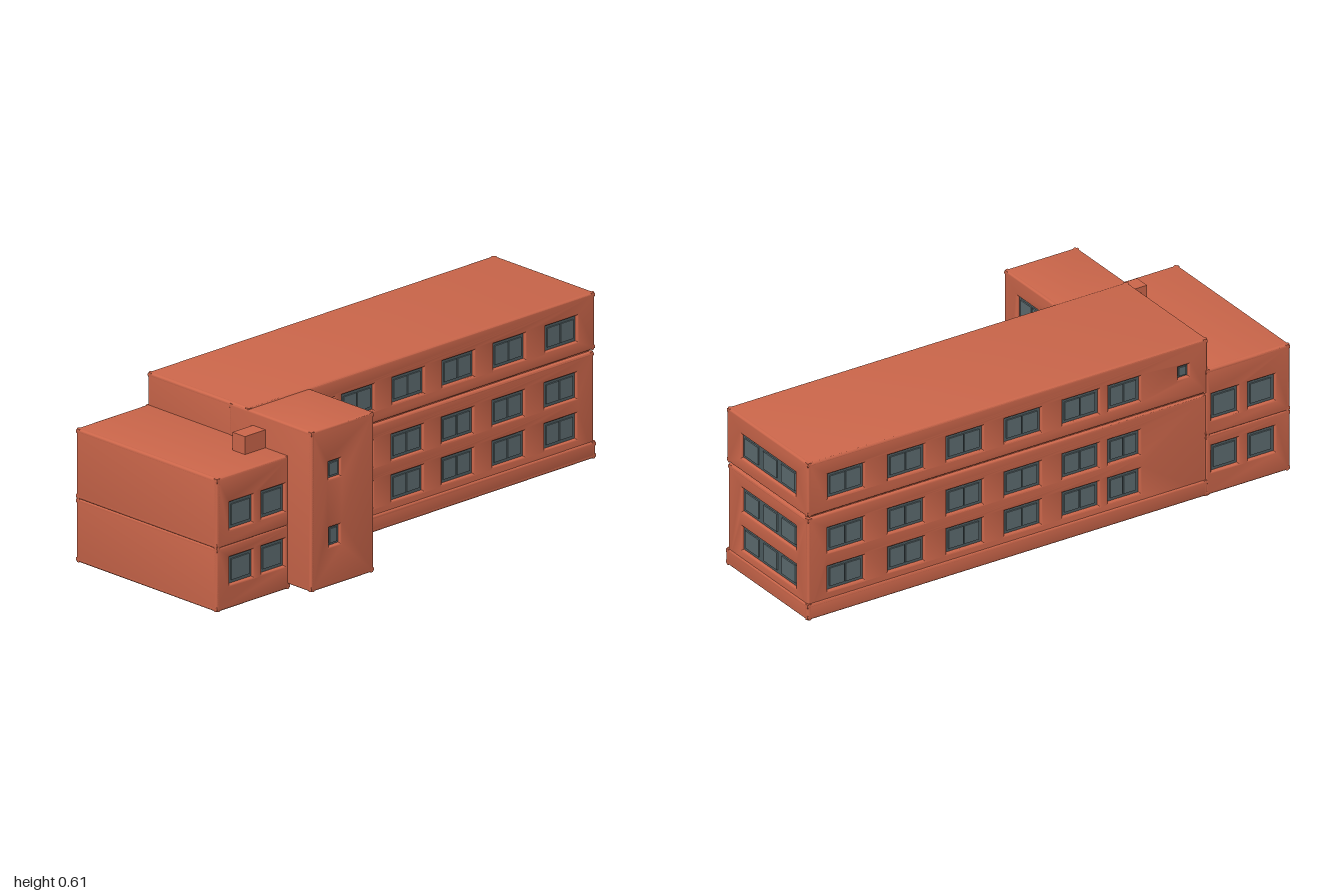
import * as THREE from 'three';
import { toCreasedNormals } from 'three/addons/utils/BufferGeometryUtils.js';

const brick = new THREE.MeshStandardMaterial({ name: 'brick', color: 0xcd674b });
const frame = new THREE.MeshStandardMaterial({ name: 'windowFrame', color: 0x4f5d61 });
const glass = new THREE.MeshStandardMaterial({ name: 'glass', color: 0x5d6c70 });

const T = 0.02;   // wall thickness
const B = 0.008;  // softened edge radius

function addBox(parent, name, material, x0, x1, y0, y1, z0, z1) {
  const mesh = new THREE.Mesh(new THREE.BoxGeometry(x1 - x0, y1 - y0, z1 - z0), material);
  mesh.position.set((x0 + x1) / 2, (y0 + y1) / 2, (z0 + z1) / 2);
  mesh.name = name;
  parent.add(mesh);
}

// Rectangle path, used for both walls and window openings
function rect(path, u0, u1, v0, v1) {
  path.moveTo(u0, v0);
  path.lineTo(u1, v0);
  path.lineTo(u1, v1);
  path.lineTo(u0, v1);
  path.closePath();
  return path;
}

// Wall panel with softened edges and recessed windows; a window is [u, v, w, h, panes]
function panel(u0, u1, v0, v1, dist, windows = []) {
  const group = new THREE.Group();
  const shape = rect(new THREE.Shape(), u0, u1, v0, v1);
  for (const [u, v, w, h] of windows) {
    shape.holes.push(rect(new THREE.Path(), u - w / 2, u + w / 2, v - h / 2, v + h / 2));
  }
  const geo = new THREE.ExtrudeGeometry(shape, {
    depth: T - 2 * B, bevelEnabled: true, bevelSize: B, bevelThickness: B, bevelOffset: -B, bevelSegments: 3,
  });
  geo.translate(0, 0, dist - T + B);
  const wall = new THREE.Mesh(toCreasedNormals(geo, 0.7), brick);
  wall.name = 'wall';
  group.add(wall);

  for (const [u, v, w, h, panes = 1] of windows) {
    addBox(group, 'windowFrame', frame, u - w / 2, u + w / 2, v - h / 2, v + h / 2, dist - T, dist - 0.011);
    const margin = Math.min(0.012, w * 0.15);
    const gap = panes === 3 ? 0.03 : 0.005;
    const pw = (w - 2 * margin - gap * (panes - 1)) / panes;
    for (let i = 0; i < panes; i++) {
      const a = u - w / 2 + margin + i * (pw + gap);
      addBox(group, 'windowPane', glass, a, a + pw, v - h / 2 + margin, v + h / 2 - margin, dist - 0.012, dist - 0.006);
    }
  }
  return group;
}

// Closed block made of six panels around a solid core
function block(name, [x0, x1], [y0, y1], [z0, z1], wins = {}) {
  const group = new THREE.Group();
  group.name = name;
  const c = T - 0.002;
  addBox(group, 'core', brick, x0 + c, x1 - c, y0 + c, y1 - c, z0 + c, z1 - c);
  const faces = [
    ['front', 0, 0, x0, x1, y0, y1, z1],
    ['right', 0, Math.PI / 2, -z1, -z0, y0, y1, x1],
    ['back', 0, Math.PI, -x1, -x0, y0, y1, -z0],
    ['left', 0, -Math.PI / 2, z0, z1, y0, y1, -x0],
    ['roof', -Math.PI / 2, 0, x0, x1, -z1, -z0, y1],
    ['floor', Math.PI / 2, 0, x0, x1, z0, z1, -y0],
  ];
  for (const [face, rx, ry, u0, u1, v0, v1, dist] of faces) {
    const p = panel(u0, u1, v0, v1, dist, wins[face]);
    p.rotation.set(rx, ry, 0);
    p.name = face + 'Side';
    group.add(p);
  }
  return group;
}

// One row of long-facade windows; side is -1 for the mirrored back
function longRow(y, side) {
  return [-0.315, -0.135, 0.105, 0.345, 0.588, 0.837].map(
    (x, i) => [side * x, y, i === 0 ? 0.13 : 0.15, 0.094, 2]);
}
const endRow = (y) => [[0.16, y, 0.335, 0.092, 3]];
const wingRow = (y, side) => [-0.882, -0.73].map((x) => [side * x, y, 0.11, 0.1, 1]);

export function createModel() {
  const model = new THREE.Group();
  model.name = 'building';

  // Main wing: plinth, two lower floors, groove, top floor
  model.add(block('plinth', [-0.66, 1.0], [0, 0.062], [-0.41, 0.098]));
  model.add(block('lowerFloors', [-0.66, 0.995], [0.005, 0.392], [-0.405, 0.092], {
    front: [...longRow(0.137, 1), ...longRow(0.287, 1)],
    back: [...longRow(0.137, -1), ...longRow(0.287, -1)],
    right: [...endRow(0.137), ...endRow(0.287)],
  }));
  addBox(model, 'groove', brick, -0.65, 0.983, 0.37, 0.42, -0.393, 0.08);
  model.add(block('topFloor', [-0.66, 0.997], [0.4, 0.61], [-0.406, 0.096], {
    front: longRow(0.497, 1),
    back: [...longRow(0.497, -1), [0.56, 0.51, 0.042, 0.045, 1]],
    right: endRow(0.497),
  }));

  // Low side wing in two storeys
  const storeys = [['sideWingLower', 0, 0.235, 0.138], ['sideWingUpper', 0.232, 0.49, 0.34]];
  for (const [name, y0, y1, v] of storeys) {
    model.add(block(name, [-1, -0.65], [y0, y1], [-0.409, 0.292], {
      front: wingRow(v, 1), back: wingRow(v, -1),
    }));
  }
  addBox(model, 'chimney', brick, -0.76, -0.65, 0.48, 0.556, 0.12, 0.182);

  // Projecting stair tower with sill
  model.add(block('stairTower', [-0.662, -0.362], [0.018, 0.606], [0, 0.41], {
    front: [[-0.55, 0.445, 0.055, 0.062, 1], [-0.55, 0.2, 0.05, 0.068, 1]],
    right: [[-0.25, 0.49, 0.162, 0.095, 2], [-0.245, 0.232, 0.182, 0.125, 2]],
  }));
  addBox(model, 'towerSill', brick, -0.37, -0.352, 0.153, 0.168, 0.15, 0.345);
  return model;
}
